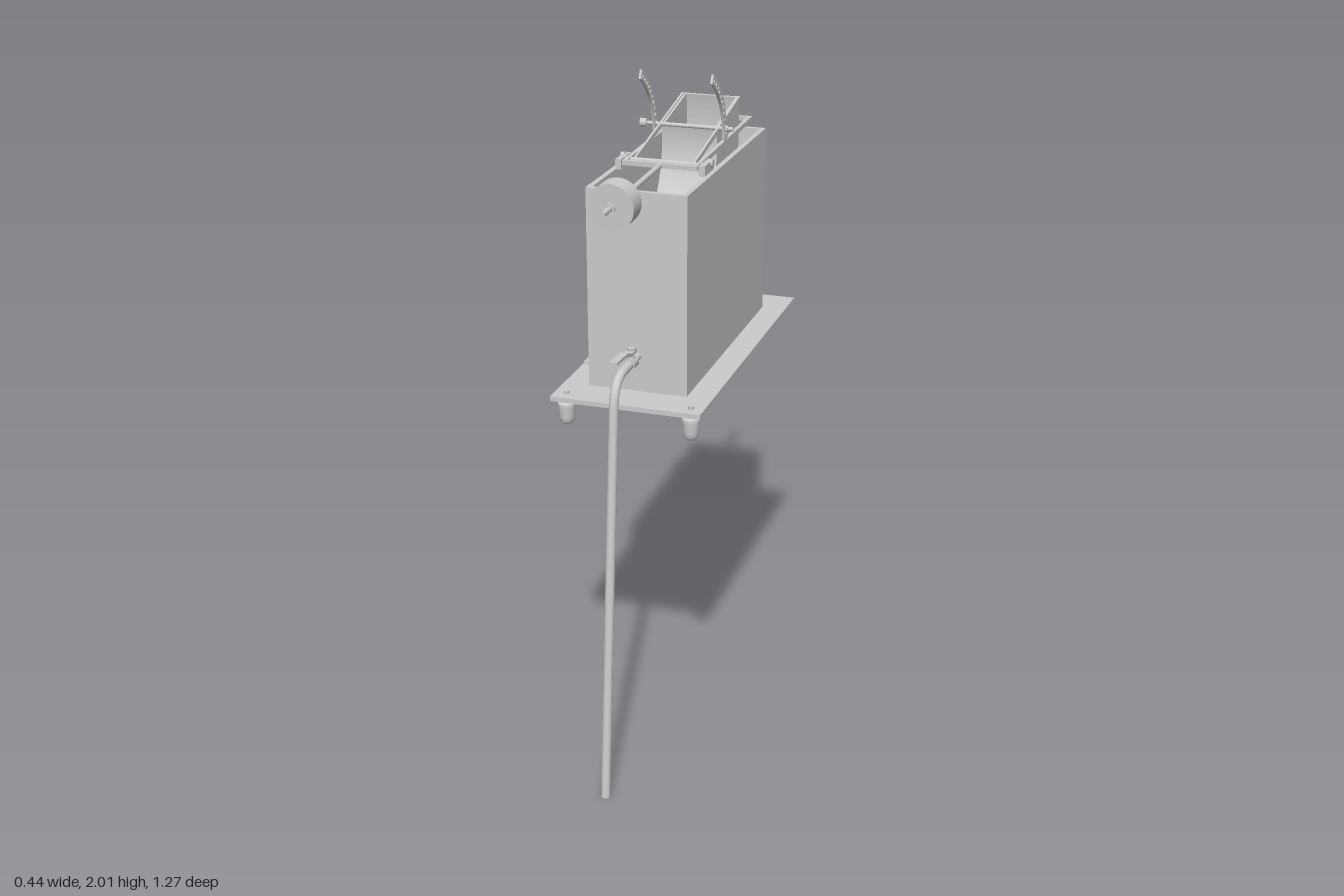
import * as THREE from 'three';

const grey = new THREE.MeshStandardMaterial({ color: 0xcccccc, side: THREE.DoubleSide });

function add(parent, name, geometry, x = 0, y = 0, z = 0) {
  const mesh = new THREE.Mesh(geometry, grey);
  mesh.name = name;
  mesh.position.set(x, y, z);
  parent.add(mesh);
  return mesh;
}
const box = (w, h, d) => new THREE.BoxGeometry(w, h, d);
const cyl = (r, h, n = 24, r2 = r) => new THREE.CylinderGeometry(r, r2, h, n);
const rodX = (r, l, n = 16) => cyl(r, l, n).rotateZ(Math.PI / 2);
const rodZ = (r, l, n = 20) => cyl(r, l, n).rotateX(Math.PI / 2);
const lathe = (pts, n = 32) => new THREE.LatheGeometry(pts.map(p => new THREE.Vector2(...p)), n);

// Side profile (u towards the back, v up) extruded across x, centred
function extrudeX(shape, width) {
  const g = new THREE.ExtrudeGeometry(shape, { depth: width, bevelEnabled: false, curveSegments: 32 });
  return g.translate(0, 0, -width / 2).rotateY(Math.PI / 2);
}
// Rectangle with rectangular hole, lying flat, centred, height h
function ringBox(w, d, h, t) {
  const rect = (P, a, b) => {
    const p = new P();
    p.moveTo(-a, -b); p.lineTo(a, -b); p.lineTo(a, b); p.lineTo(-a, b); p.closePath();
    return p;
  };
  const s = rect(THREE.Shape, w / 2, d / 2);
  s.holes.push(rect(THREE.Path, w / 2 - t, d / 2 - t));
  return new THREE.ExtrudeGeometry(s, { depth: h, bevelEnabled: false }).rotateX(-Math.PI / 2);
}
// Annular sector between two radii and two angles
function sector(r, R, a0, a1) {
  const s = new THREE.Shape();
  s.moveTo(R * Math.cos(a0), R * Math.sin(a0));
  s.absarc(0, 0, R, a0, a1, a1 < a0);
  s.lineTo(r * Math.cos(a1), r * Math.sin(a1));
  s.absarc(0, 0, r, a1, a0, a1 > a0);
  s.closePath();
  return s;
}

function buildBase(root) {
  const base = new THREE.Group();
  base.name = 'base';
  root.add(base);
  add(base, 'basePlate', box(0.444, 0.014, 1.032), 0, 1.163, -0.09);
  add(base, 'sideStrip', box(0.072, 0.005, 0.49), -0.186, 1.1725, -0.09);
  for (const z of [-0.325, 0.145]) add(base, 'stripScrew', cyl(0.007, 0.005, 12), -0.187, 1.177, z);

  // Three levelling feet
  const foot = [[0, 0], [0.014, 0.001], [0.02, 0.008], [0.022, 0.02], [0.025, 0.05], [0.026, 0.06], [0.024, 0.065], [0.01, 0.066], [0.01, 0.08]];
  for (const [x, z] of [[-0.185, 0.39], [0.185, 0.39], [0, -0.566]]) {
    add(base, 'foot', lathe(foot), x, 1.08, z);
    add(base, 'footStud', cyl(0.008, 0.012, 12), x, 1.173, z);
  }
  // Round bubble level
  add(base, 'levelBody', lathe([[0, 0], [0.05, 0], [0.05, 0.012], [0.046, 0.015], [0.038, 0.015], [0.036, 0.02], [0.02, 0.024], [0, 0.025]]), -0.129, 1.17, -0.553);
}

function buildTank(root) {
  const tank = new THREE.Group();
  tank.name = 'tank';
  root.add(tank);
  add(tank, 'tankWalls', ringBox(0.294, 0.798, 0.585, 0.016), 0, 1.17, -0.089);
  add(tank, 'tankFloor', box(0.27, 0.008, 0.77), 0, 1.174, -0.089);
  add(tank, 'pointerPlate', box(0.05, 0.016, 0.006), -0.012, 1.745, -0.491);

  // Bearing blocks on the rim
  for (const s of [-1, 1]) {
    add(tank, 'bearingBlock', box(0.018, 0.03, 0.085), s * 0.124, 1.769, 0.064);
    add(tank, 'bearingCap', rodX(0.012, 0.012), s * 0.132, 1.777, 0.04);
  }
}

function buildDrain(root) {
  const drain = new THREE.Group();
  drain.name = 'drain';
  root.add(drain);
  add(drain, 'outletFitting', rodZ(0.011, 0.09), 0, 1.275, 0.345);
  add(drain, 'valveBody', rodZ(0.018, 0.04, 6), 0, 1.275, 0.36);
  add(drain, 'valveStem', cyl(0.009, 0.035, 12), 0, 1.297, 0.36);
  add(drain, 'valveNut', cyl(0.012, 0.01, 6), 0, 1.314, 0.36);
  // Cranked lever
  const lever = new THREE.Shape();
  [[-0.345, 1.304], [-0.39, 1.304], [-0.42, 1.318], [-0.51, 1.322], [-0.51, 1.33], [-0.42, 1.326], [-0.385, 1.312], [-0.345, 1.312]]
    .forEach(([u, v], i) => (i ? lever.lineTo(u, v) : lever.moveTo(u, v)));
  add(drain, 'valveLever', extrudeX(lever, 0.024));

  // Hose bending down to the ground
  const v = (y, z) => new THREE.Vector3(0, y, z);
  const path = new THREE.CurvePath();
  path.add(new THREE.LineCurve3(v(1.275, 0.375), v(1.275, 0.42)));
  path.add(new THREE.CubicBezierCurve3(v(1.275, 0.42), v(1.275, 0.475), v(1.255, 0.503), v(1.19, 0.51)));
  path.add(new THREE.LineCurve3(v(1.19, 0.51), v(0.002, 0.622)));
  add(drain, 'hose', new THREE.TubeGeometry(path, 160, 0.0135, 20));
}

function buildBalance(root) {
  const balance = new THREE.Group();
  balance.name = 'balance';
  balance.position.set(0, 1.777, 0.07);
  balance.rotation.x = 0.025;
  root.add(balance);

  // Frame around the vessel, with beam arms fore and aft
  add(balance, 'frame', ringBox(0.222, 0.565, 0.014, 0.012), 0, -0.007, -0.2425);
  add(balance, 'pivotShaft', rodX(0.007, 0.26));
  add(balance, 'frontBeam', rodZ(0.008, 0.47), 0, 0, 0.27);
  add(balance, 'rearBeam', box(0.016, 0.013, 0.18), 0, 0, -0.61);
  add(balance, 'beamTip', rodZ(0.01, 0.02), 0, 0, -0.697);
  add(balance, 'counterweight', rodZ(0.065, 0.064, 48), 0, 0, 0.412);
  add(balance, 'counterweightHub', rodZ(0.014, 0.08), 0, 0, 0.412);

  // Perforated angle arcs
  const arc = sector(0.232, 0.26, -0.04, 1.08);
  for (let i = 0; i < 11; i++) {
    const a = 0.12 + i * 0.09, hole = new THREE.Path();
    hole.absarc(0.246 * Math.cos(a), 0.246 * Math.sin(a), 0.006, 0, Math.PI * 2, true);
    arc.holes.push(hole);
  }
  for (const s of [-1, 1]) add(balance, 'angleArc', extrudeX(arc, 0.007), s * 0.107, 0, 0);
}

function buildVessel(root) {
  const vessel = new THREE.Group();
  vessel.name = 'vessel';
  vessel.position.set(0, 1.777, 0.07);
  root.add(vessel);
  const tilt = 0.2, end = -1.87, r = 0.24, R = 0.47, t = 0.007;

  // Quadrant: two cheeks, curved inner and outer walls, closed lower end
  for (const s of [-1, 1]) {
    add(vessel, 'vesselCheek', extrudeX(sector(r, R, tilt, end), t), s * 0.0815, 0, 0);
    const arm = add(vessel, 'vesselArm', box(0.007, 0.014, 0.47), s * 0.0885, 0.235 * Math.sin(tilt) - 0.004, -0.225);
    arm.rotation.x = tilt;
  }
  add(vessel, 'innerWall', extrudeX(sector(r, r + t, tilt, end), 0.16));
  add(vessel, 'outerWall', extrudeX(sector(R - t, R, tilt, end), 0.16));
  add(vessel, 'endWall', extrudeX(sector(r, R, end + 0.02, end), 0.16));

  // Locking rod with knob through the arcs
  const ly = 0.243 * Math.sin(tilt), lz = -0.243 * Math.cos(tilt);
  add(vessel, 'lockRod', rodX(0.006, 0.28), -0.005, ly, lz);
  add(vessel, 'lockKnob', rodX(0.013, 0.02), -0.141, ly, lz);
  add(vessel, 'lockNut', rodX(0.01, 0.008, 6), 0.116, ly, lz);
}

function buildHanger(root) {
  const hanger = new THREE.Group();
  hanger.name = 'weightHanger';
  hanger.position.set(0, 1.372, -0.585);
  root.add(hanger);
  add(hanger, 'hangerRod', cyl(0.003, 0.42, 10), 0, 0.21, 0);
  add(hanger, 'hangerPlate', cyl(0.054, 0.008, 40), 0, 0.004, 0);
  add(hanger, 'weight', lathe([[0, 0], [0.04, 0], [0.042, 0.003], [0.042, 0.027], [0.039, 0.03], [0, 0.03]], 40), 0, 0.009, 0);
  add(hanger, 'hangerHook', new THREE.TorusGeometry(0.012, 0.003, 8, 20).rotateY(0), 0, 0.418, 0);
}

export function createModel() {
  const root = new THREE.Group();
  root.name = 'pressureBalance';
  for (const build of [buildBase, buildTank, buildDrain, buildBalance, buildVessel, buildHanger]) build(root);
  return root;
}
